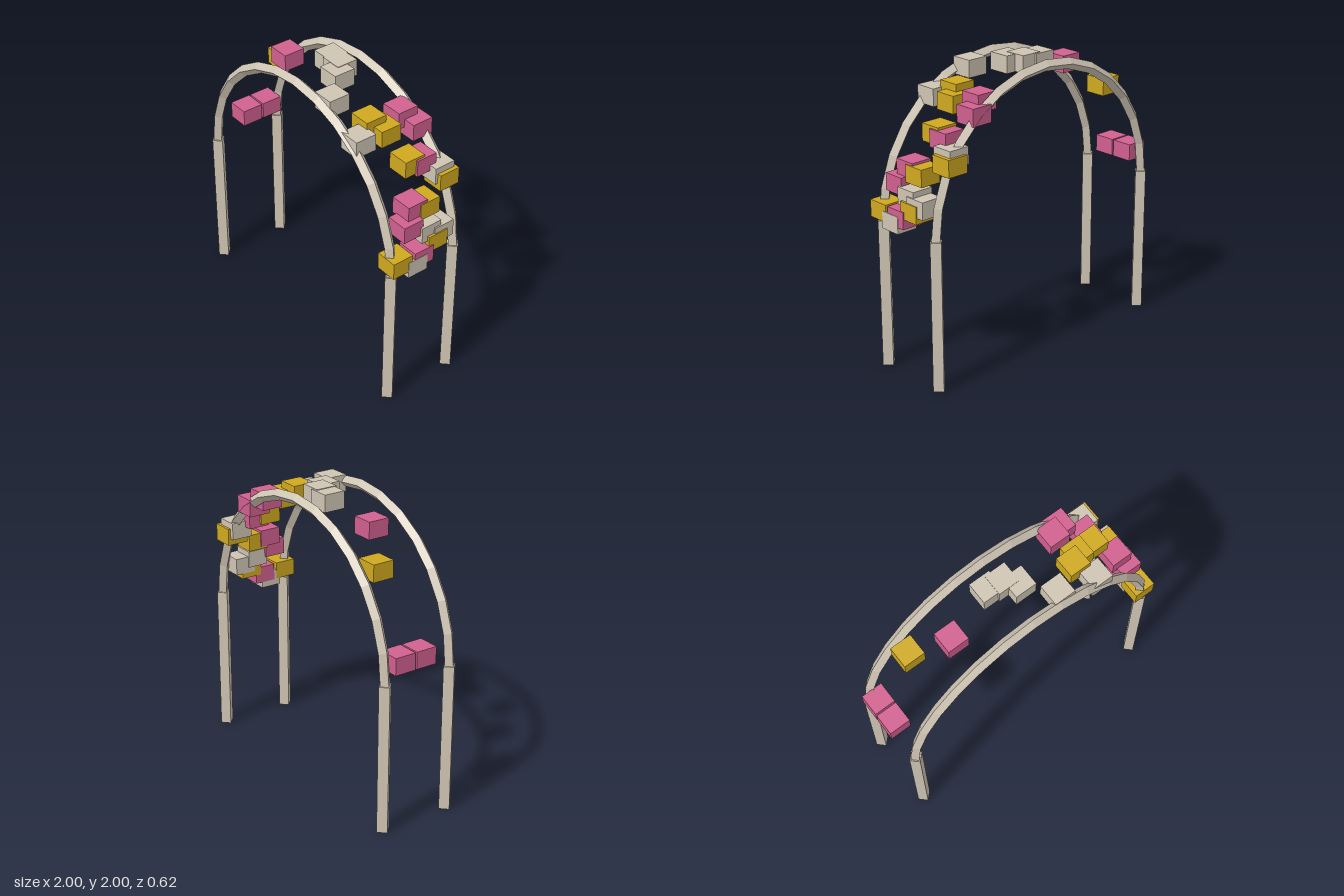
import * as THREE from 'three';

const flat = (name, color) => {
  const m = new THREE.MeshStandardMaterial({ color, flatShading: true });
  m.name = name;
  return m;
};

const RADIUS = 0.929, SPRING = 1.017, CENTRE_X = -0.007;

// Flower blocks by colour: [angle along the arch in degrees, z]
const FLOWERS = {
  pink: [[171.6, -0.142], [171.6, 0.02], [117.4, 0.018], [58.4, -0.161], [52, -0.208],
    [39.2, -0.12], [24.5, 0.05], [17.8, 0.112], [5.2, 0.055]],
  gold: [[135.5, -0.123], [60.1, 0.07], [54.6, 0.014], [40.5, -0.036], [30.4, -0.24],
    [23.4, -0.043], [9.3, -0.062], [5.3, 0.224]],
  cream: [[95.6, -0.075], [89.1, -0.062], [84.8, 0.014], [74.4, 0.185], [55, 0.206],
    [33.6, -0.222], [14.3, -0.019], [11.9, -0.115], [2.5, 0.106]],
};

export function createModel() {
  const model = new THREE.Group();
  model.name = 'flowerArch';

  const materials = {
    cream: flat('cream', 0xcfc5b4),
    pink: flat('pink', 0xd1608f),
    gold: flat('gold', 0xcfa91f),
  };

  const add = (name, geometry, material, x, y, z) => {
    const mesh = new THREE.Mesh(geometry, material);
    mesh.name = name;
    mesh.position.set(x, y, z);
    model.add(mesh);
  };

  // Two four-sided hoops, each on a pair of four-sided posts
  const postGeometry = new THREE.CylinderGeometry(0.049, 0.049, SPRING, 4);
  const hoopGeometry = new THREE.TorusGeometry(RADIUS, 0.038, 4, 14, Math.PI);
  for (const [place, z] of [['front', 0.259], ['back', -0.246]]) {
    add(place + 'Hoop', hoopGeometry, materials.cream, CENTRE_X, SPRING, z);
    for (const [side, s] of [['Left', 1], ['Right', -1]]) {
      add(place + side + 'Post', postGeometry, materials.cream, CENTRE_X + s * RADIUS, SPRING / 2, z);
    }
  }

  // Upright flower blocks scattered along the curve between the hoops
  const flowerGeometry = new THREE.BoxGeometry(0.15, 0.116, 0.15);
  for (const [colour, places] of Object.entries(FLOWERS)) {
    places.forEach(([degrees, z], i) => {
      const a = THREE.MathUtils.degToRad(degrees);
      add(colour + 'Flower' + (i + 1), flowerGeometry, materials[colour],
        CENTRE_X + RADIUS * Math.cos(a), SPRING + RADIUS * Math.sin(a), z);
    });
  }

  return model;
}
